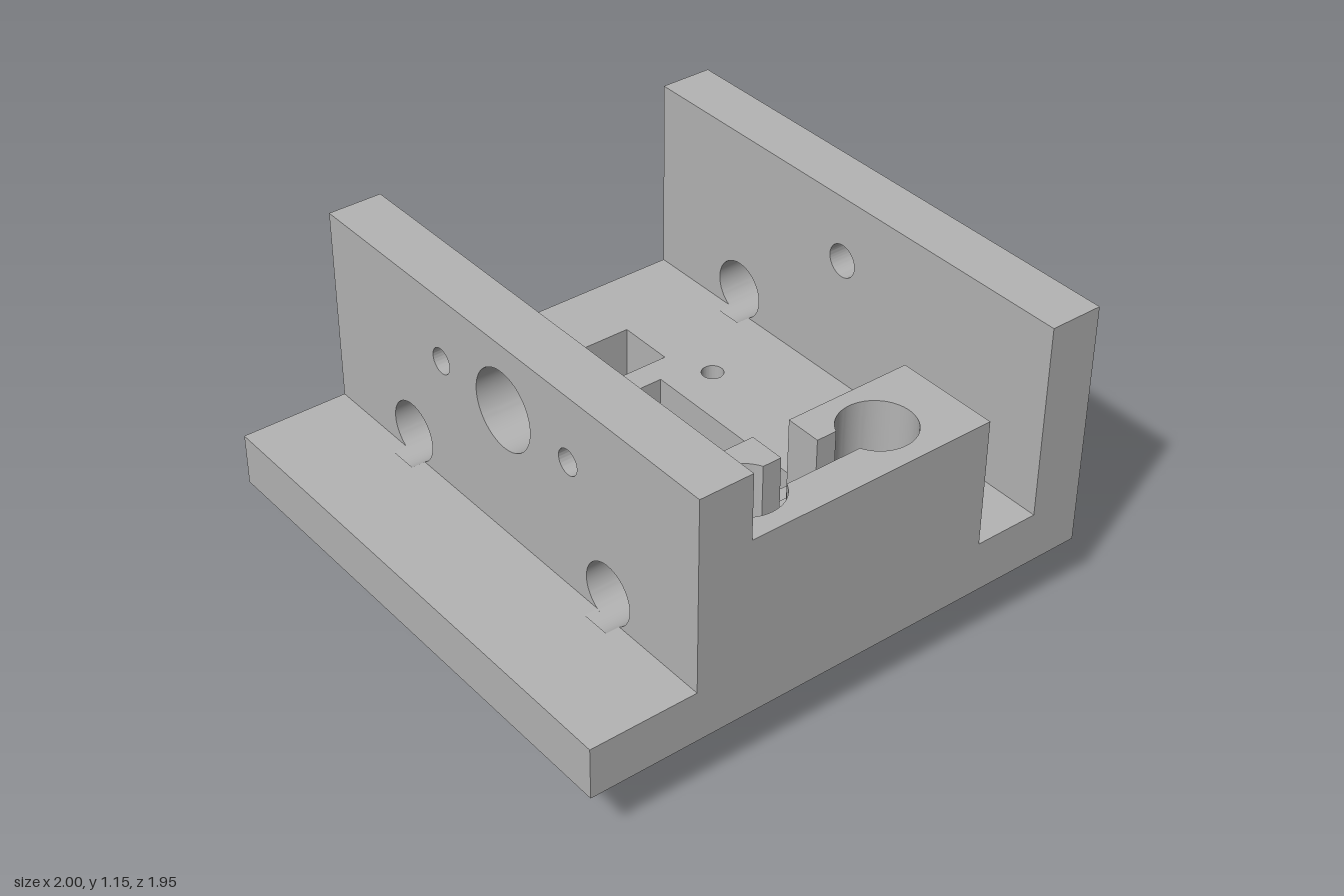
import * as THREE from 'three';
import { toCreasedNormals } from 'three/addons/utils/BufferGeometryUtils.js';

const BOTTOM = 0.225, FLOOR = 0.42, TOP = 1.15, BLOCK_TOP = 0.905, END = 0.975;
const BORE_Z = 0.535, BORE_Y = 0.515, BORE_R = 0.11;

const polygon = (pts) => new THREE.Shape(pts.map(([a, b]) => new THREE.Vector2(a, b)));
const rect = (a0, a1, b0, b1) => polygon([[a0, b0], [a1, b0], [a1, b1], [a0, b1]]);
const circle = (a, b, r) => new THREE.Path().absarc(a, b, r, 0, Math.PI * 2, false);

export function createModel() {
  const group = new THREE.Group();
  const grey = new THREE.MeshStandardMaterial({ color: 0xb4b4b4 });
  grey.name = 'grey';

  function add(name, geometry, parent = group) {
    const mesh = new THREE.Mesh(toCreasedNormals(geometry, 0.5), grey);
    mesh.name = name;
    parent.add(mesh);
    return mesh;
  }
  const extrude = (shape, depth) =>
    new THREE.ExtrudeGeometry(shape, { depth, bevelEnabled: false, curveSegments: 40 });

  // Plan shape (x, -z) raised from y0 to y1
  const raise = (shape, y0, y1) =>
    extrude(shape, y1 - y0).rotateX(-Math.PI / 2).translate(0, y0, 0);
  // Side shape (z, y) swept from x0 to x1
  const sweep = (shape, x0, x1) =>
    extrude(shape, x1 - x0).rotateY(-Math.PI / 2).translate(x1, 0, 0);

  // Floor plate with window, cable slots and screw holes
  const plate = polygon([
    [-0.4, -END], [0.75, -END], [0.75, END], [-0.4, END],
    [-0.4, 0.69], [0.41, 0.69], [0.41, 0.47], [-0.4, 0.47],
    [-0.4, 0.4], [-0.35, 0.4], [-0.35, -0.585], [-0.4, -0.585],
  ]);
  const cableSlot = () => rect(-0.37, 0.362, -0.83, -0.72);
  plate.holes.push(rect(-0.32, 0.315, -0.362, 0.372), cableSlot(),
    circle(0.485, 0.295, 0.04), circle(0.485, -0.29, 0.04));
  add('floorPlate', raise(plate, BOTTOM, FLOOR));
  add('sideLedge', raise(rect(-1, -0.65, -END, END), BOTTOM, FLOOR));

  // Floor strips beside the walls, grooved where the bores run out
  function groovedStrip(x0, x1, z0, z1, bores) {
    const a = Math.acos((BORE_Y - FLOOR) / BORE_R);
    const s = new THREE.Shape();
    s.moveTo(z0, BOTTOM).lineTo(z1, BOTTOM).lineTo(z1, FLOOR);
    for (const z of bores) s.absarc(z, BORE_Y, BORE_R, -Math.PI / 2 + a, -Math.PI / 2 - a, true);
    s.lineTo(z0, FLOOR);
    add('groovedFloorStrip', sweep(s, x0, x1));
  }
  groovedStrip(-0.65, -0.6, -END, END, [BORE_Z, -BORE_Z]);
  groovedStrip(0.75, 0.8, -END, END, [BORE_Z, -BORE_Z]);
  groovedStrip(-0.4, -0.35, -0.4, 0.585, [BORE_Z]);

  // Wall on the model's left
  const leftWall = rect(-END, END, BOTTOM, TOP);
  leftWall.holes.push(circle(0, 0.905, 0.062),
    circle(BORE_Z, BORE_Y, BORE_R), circle(-BORE_Z, BORE_Y, BORE_R));
  add('leftWall', sweep(leftWall, 0.8, 1));

  // Wall on the model's right: outer layer, and inner layer with a recess
  const upperHoles = () => [circle(0, 0.905, 0.145),
    circle(0.34, 0.905, 0.047), circle(-0.34, 0.905, 0.047)];
  const outer = rect(-END, END, BOTTOM, TOP);
  outer.holes.push(...upperHoles(),
    circle(BORE_Z, BORE_Y, BORE_R), circle(-BORE_Z, BORE_Y, BORE_R));
  add('rightWallOuter', sweep(outer, -0.6, -0.42));

  const cut = Math.acos((BORE_Z - 0.47) / BORE_R);
  const inner = new THREE.Shape();
  inner.moveTo(-END, BOTTOM).lineTo(-0.69, BOTTOM).lineTo(-0.69, 1.05).lineTo(-0.47, 1.05);
  inner.absarc(-BORE_Z, BORE_Y, BORE_R, cut, -cut, true);
  inner.lineTo(-0.47, BOTTOM).lineTo(END, BOTTOM).lineTo(END, TOP).lineTo(-END, TOP);
  inner.holes.push(...upperHoles(), circle(BORE_Z, BORE_Y, BORE_R));
  add('rightWallInner', sweep(inner, -0.42, -0.4));

  // Sensor block: slotted foot, stepped pocket, open top with two round wells
  const block = new THREE.Group();
  block.name = 'sensorBlock';
  group.add(block);
  const footprint = () => rect(-0.4, 0.555, -END, -0.585);
  const foot = footprint();
  foot.holes.push(cableSlot());
  add('blockFoot', raise(foot, FLOOR, 0.5), block);
  const pocket = footprint();
  pocket.holes.push(rect(-0.385, 0.385, -0.89, -0.66));
  add('blockPocket', raise(pocket, 0.5, 0.6), block);

  const R = 0.132, b = Math.asin(0.055 / R);
  const wells = new THREE.Shape();
  wells.moveTo(-0.4, -END).lineTo(0.555, -END).lineTo(0.555, -0.585)
    .lineTo(0.07, -0.585).lineTo(0.07, -0.72);
  wells.absarc(0.266, -0.775, R, Math.PI - b, -(Math.PI - b), true);
  wells.absarc(-0.266, -0.775, R, -b, b, true);
  wells.lineTo(-0.075, -0.72).lineTo(-0.075, -0.585).lineTo(-0.4, -0.585);
  add('blockWells', raise(wells, 0.6, BLOCK_TOP), block);

  // Stepped hollow feet; the rear pair has a flat at the back
  for (const x of [-0.488, 0.485]) {
    for (const z of [0.292, -0.292]) {
      const r = 0.145, f = z < 0 ? Math.asin(0.095 / r) : Math.PI / 2;
      const collar = new THREE.Shape();
      collar.absarc(x, -z, r, Math.PI - f, Math.PI * 2 + f, false);
      const pin = new THREE.Shape();
      pin.absarc(x, -z, 0.09, 0, Math.PI * 2, false);
      for (const s of [collar, pin]) s.holes.push(circle(x, -z, 0.04));
      const post = new THREE.Group();
      post.name = 'foot';
      group.add(post);
      add('footCollar', raise(collar, 0.11, BOTTOM), post);
      add('footPin', raise(pin, 0, 0.11), post);
    }
  }
  return group;
}
